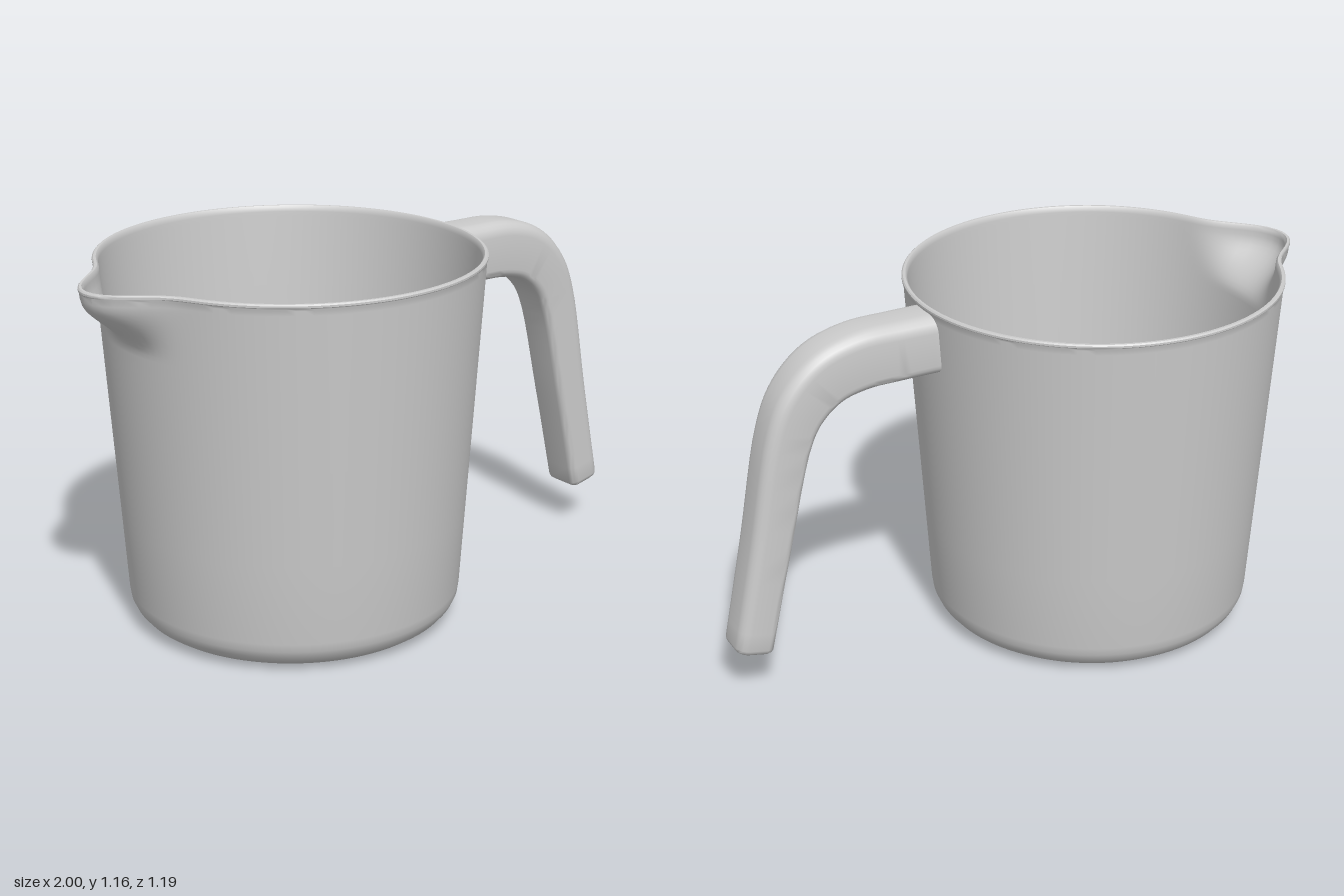
import * as THREE from 'three';
import { toCreasedNormals } from 'three/addons/utils/BufferGeometryUtils.js';

const CUP_X = -0.275; // axis of the cup
const material = new THREE.MeshStandardMaterial({ color: 0xcccccc });

// outer radius of the tapered wall
const wallRadius = (y) => 0.522 + (0.593 - 0.522) * (y - 0.1) / 1.05;

// Thin-walled cup, lathed as one closed profile, then pulled out into a spout
function createCup() {
  const wall = 0.014;
  const profile = [[0, 0]];
  for (let i = 0; i <= 6; i++) { // outer base rounding
    const a = (i / 6) * Math.PI / 2;
    profile.push([0.41 + 0.112 * Math.sin(a), 0.1 - 0.1 * Math.cos(a)]);
  }
  const heights = [0.35, 0.65, 0.9];
  for (let y = 0.95; y < 1.145; y += 0.015) heights.push(y);
  for (const y of heights) profile.push([wallRadius(y), y]);
  profile.push([0.593, 1.15], [0.597, 1.154], [0.597, 1.16], [0.593, 1.164], [0.585, 1.164], [0.58, 1.158]);
  for (const y of heights.slice().reverse()) profile.push([wallRadius(y) - wall, y]);
  for (let i = 6; i >= 0; i--) { // inner base rounding
    const a = (i / 6) * Math.PI / 2;
    profile.push([0.4 + 0.108 * Math.sin(a), 0.115 - 0.1 * Math.cos(a)]);
  }
  profile.push([0, 0.015]);

  const geometry = new THREE.LatheGeometry(profile.map(([r, y]) => new THREE.Vector2(r, y)), 144);

  // Spout: push the wall outward around -x, wider and further near the rim
  const p = geometry.attributes.position;
  for (let i = 0; i < p.count; i++) {
    const x = p.getX(i), y = p.getY(i), z = p.getZ(i);
    const h = THREE.MathUtils.clamp((y - 0.96) / 0.17, 0, 1);
    const angle = Math.abs(Math.atan2(z, -x));
    const spread = THREE.MathUtils.degToRad(24 + 5 * h);
    if (h === 0 || angle >= spread) continue;
    const rise = h * h * (3 - 2 * h);
    const pull = 0.129 * rise * Math.cos(angle / spread * Math.PI / 2) ** 3.6;
    const r = Math.hypot(x, z), k = (r + pull) / r;
    p.setXYZ(i, x * k, y - pull * 0.04, z * k);
  }
  geometry.deleteAttribute('uv');
  const cup = new THREE.Mesh(toCreasedNormals(geometry, 0.75), material);
  cup.name = 'cup';
  cup.position.x = CUP_X;
  return cup;
}

// Handle: rounded-rectangle section swept along a bent path, tapering to the tip
function createHandle() {
  // x, y and half thickness along the path
  const path = new THREE.CatmullRomCurve3([
    [0.3, 1.053, 0.093], [0.42, 1.052, 0.093], [0.55, 1.047, 0.093], [0.655, 1.015, 0.09],
    [0.735, 0.945, 0.083], [0.785, 0.85, 0.075], [0.865, 0.5, 0.065], [0.938, 0.168, 0.061],
  ].map((v) => new THREE.Vector3(...v)));

  const positions = [], index = [], corner = 6, sides = 4 * corner;

  function addRing(u, inset, advance) {
    const c = path.getPoint(u), t = path.getTangent(u).setZ(0).normalize();
    const nx = -t.y, ny = t.x;
    const halfT = c.z - inset, halfW = 0.084 - 0.014 * u - inset;
    for (let q = 0; q < 4; q++) {
      const sn = q === 0 || q === 3 ? 1 : -1, sz = q < 2 ? 1 : -1;
      const radius = (sn > 0 ? 0.048 : 0.032) * (1 - 0.25 * u) - inset * 0.5;
      for (let k = 0; k < corner; k++) {
        const a = (q + k / (corner - 1)) * Math.PI / 2;
        const n = sn * (halfT - radius) + radius * Math.cos(a);
        const z = sz * (halfW - radius) + radius * Math.sin(a);
        const y = c.y + ny * n + t.y * advance;
        // the root follows the curved wall of the cup
        const x = u === 0 ? CUP_X + Math.sqrt(wallRadius(y) ** 2 - z * z) - 0.006
          : c.x + nx * n + t.x * advance;
        positions.push(x, y, z);
      }
    }
  }

  const steps = 42;
  for (let i = 0; i <= steps; i++) addRing(i / steps, 0, 0);
  // softened tip
  for (const [inset, advance] of [[0.003, 0.009], [0.01, 0.016], [0.02, 0.019]]) addRing(1, inset, advance);

  const rings = steps + 4;
  for (let i = 0; i < rings - 1; i++) {
    for (let j = 0; j < sides; j++) {
      const a = i * sides + j, b = i * sides + (j + 1) % sides;
      index.push(a, b, b + sides, a, b + sides, a + sides);
    }
  }
  // closing cap at the tip
  const end = path.getPoint(1), dir = path.getTangent(1).setZ(0).normalize();
  positions.push(end.x + dir.x * 0.021, end.y + dir.y * 0.021, 0);
  const last = (rings - 1) * sides;
  for (let j = 0; j < sides; j++) index.push(last + j, last + (j + 1) % sides, rings * sides);

  const geometry = new THREE.BufferGeometry();
  geometry.setAttribute('position', new THREE.Float32BufferAttribute(positions, 3));
  geometry.setIndex(index);
  const handle = new THREE.Mesh(toCreasedNormals(geometry, 0.8), material);
  handle.name = 'handle';
  return handle;
}

export function createModel() {
  const group = new THREE.Group();
  group.name = 'measuringJug';
  group.add(createCup(), createHandle());
  return group;
}
